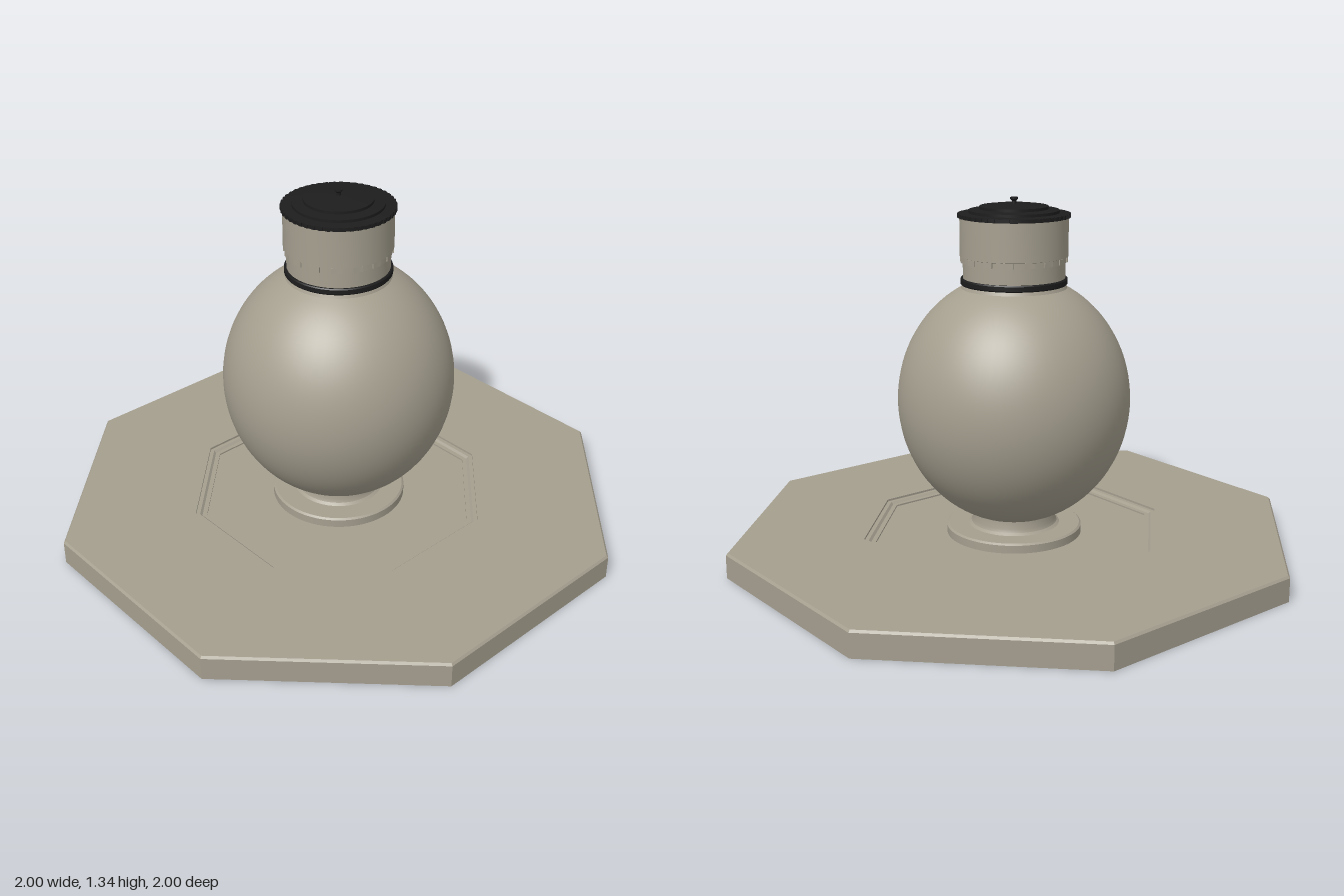
import * as THREE from 'three';
import { toCreasedNormals } from 'three/addons/utils/BufferGeometryUtils.js';

const stone = new THREE.MeshStandardMaterial({ color: 0xa59f8f });
stone.name = 'warm grey';
const black = new THREE.MeshStandardMaterial({ color: 0x1d1d1d });
black.name = 'black';

// Lathe from [radius, y] pairs listed bottom to top, with sharp edges kept
function turned(name, points, material, segments = 64, phase = 0, crease = 0.5) {
  const profile = points.map(([r, y]) => new THREE.Vector2(r, y));
  const lathe = new THREE.LatheGeometry(profile, segments, phase);
  const mesh = new THREE.Mesh(toCreasedNormals(lathe, crease), material);
  mesh.name = name;
  return mesh;
}

// Repeat a small box around the vertical axis
function ringOfBoxes(name, count, radius, y, size, material) {
  const group = new THREE.Group();
  group.name = name;
  const box = new THREE.BoxGeometry(...size);
  for (let i = 0; i < count; i++) {
    const a = (i / count) * Math.PI * 2;
    const mesh = new THREE.Mesh(box, material);
    mesh.position.set(Math.sin(a) * radius, y, Math.cos(a) * radius);
    mesh.rotation.y = a;
    group.add(mesh);
  }
  return group;
}

export function createModel() {
  const model = new THREE.Group();
  model.name = 'lampOnPlinth';

  // Octagonal plinth, given by distance to the flats, with a stepped recess
  const k = 1 / Math.cos(Math.PI / 8);
  const plinth = [
    [0, 0], [1, 0], [1, 0.088], [0.993, 0.096], [0.535, 0.096], [0.535, 0.088],
    [0.52, 0.088], [0.512, 0.08], [0.495, 0.08], [0.495, 0.074], [0, 0.074],
  ].map(([r, y]) => [r * k, y]);
  model.add(turned('plinth', plinth, stone, 8, Math.PI / 8, 0.1));

  // Foot disc with a short flared stem
  model.add(turned('foot', [
    [0, 0.07], [0.255, 0.07], [0.255, 0.104], [0.248, 0.11], [0.172, 0.11],
    [0.162, 0.118], [0.157, 0.13], [0.157, 0.17], [0, 0.17],
  ], stone));

  // Egg-shaped globe, closed at the foot and running into the collar
  const globe = [[0, 0.16]];
  const low = -1.2, high = 1.105;
  for (let i = 0; i <= 40; i++) {
    const t = low + ((high - low) * i) / 40;
    globe.push([0.432 * Math.cos(t), 0.595 + 0.468 * Math.sin(t)]);
  }
  globe.push([0.187, 1.03]);
  model.add(turned('globe', globe, stone));

  // Dark seal between globe and neck
  model.add(turned('sealBand', [
    [0.17, 1.026], [0.193, 1.026], [0.196, 1.03], [0.196, 1.046], [0.193, 1.05], [0.17, 1.05],
  ], black));

  // Neck with a wider upper sleeve
  model.add(turned('neck', [
    [0.17, 1.045], [0.187, 1.045], [0.187, 1.108], [0.192, 1.108], [0.192, 1.128],
    [0.198, 1.13], [0.198, 1.272], [0, 1.272],
  ], stone));
  model.add(ringOfBoxes('neckLugs', 16, 0.19, 1.119, [0.035, 0.02, 0.012], stone));

  // Ribbed cap with stepped lid and knob
  model.add(turned('cap', [
    [0, 1.27], [0.202, 1.27], [0.202, 1.284], [0.165, 1.286], [0.165, 1.296],
    [0.125, 1.3], [0.125, 1.31], [0.07, 1.317], [0.018, 1.319], [0, 1.319],
  ], black));
  model.add(ringOfBoxes('capRibs', 48, 0.2, 1.277, [0.013, 0.013, 0.011], black));
  model.add(turned('knob', [
    [0.008, 1.315], [0.008, 1.328], [0.014, 1.335], [0.014, 1.341], [0, 1.341],
  ], black, 24));

  return model;
}
